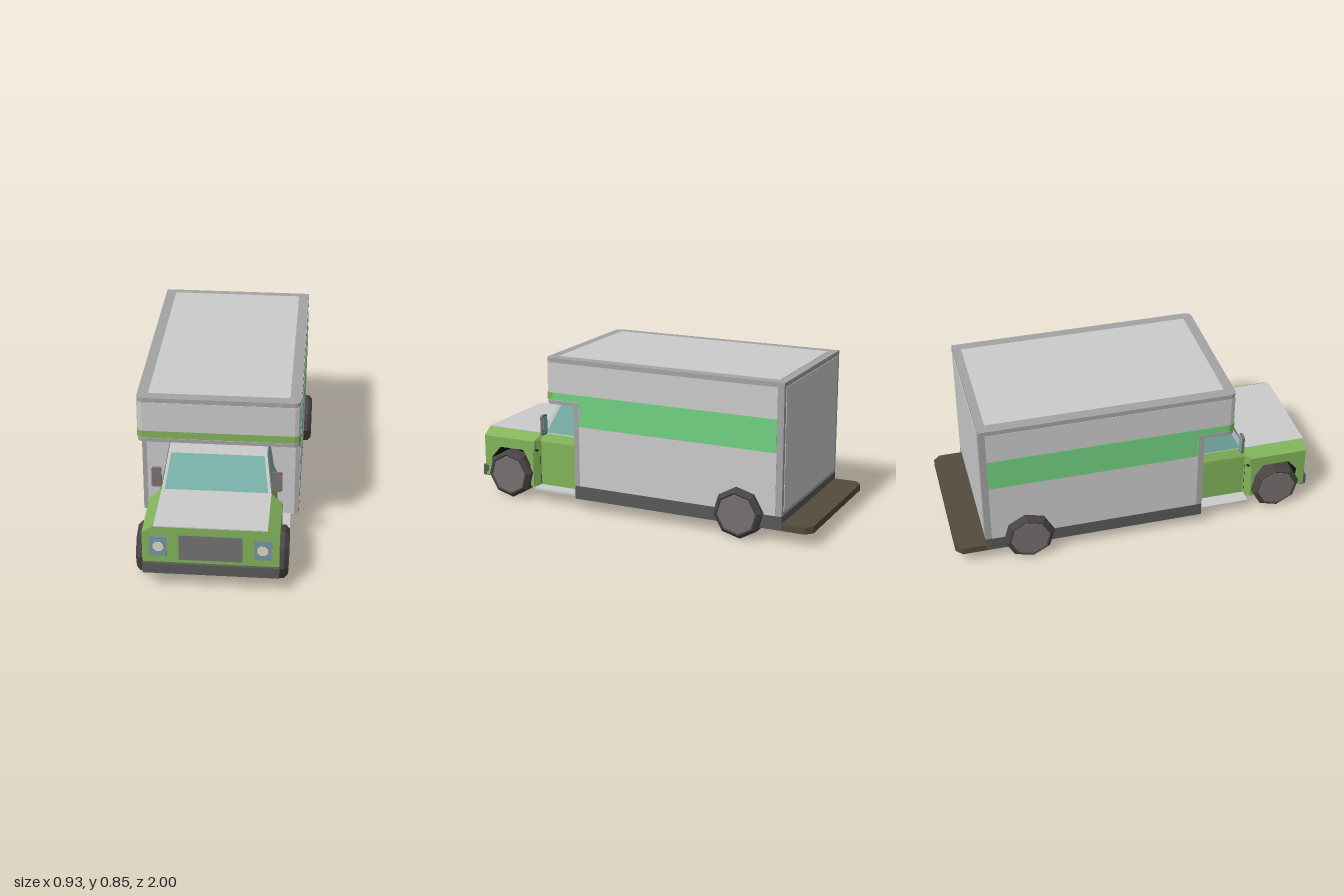
import * as THREE from 'three';
import { ConvexGeometry } from 'three/addons/geometries/ConvexGeometry.js';

const mat = (color) => new THREE.MeshStandardMaterial({ color, flatShading: true, side: THREE.DoubleSide });

export function createModel() {
  const truck = new THREE.Group();
  truck.name = 'boxTruck';
  const grey = mat(0xcccccc), trim = mat(0xa4a4a4), dark = mat(0x595959), black = mat(0x111111);
  const green = mat(0x82b45a), stripeGreen = mat(0x72d282), glass = mat(0x7bb4ac);
  const wood = mat(0x544d3b), tyreMat = mat(0x4a4545), hubMat = mat(0x757070);
  const lampPlate = mat(0x7894a5), lampMat = mat(0xe0d8c4), grilleMat = mat(0x727272), mirrorMat = mat(0x7a7270);

  const add = (name, geo, material, parent = truck) => {
    const mesh = new THREE.Mesh(geo, material);
    mesh.name = name;
    parent.add(mesh);
    return mesh;
  };
  // Box given by its limits
  const box = (name, x0, x1, y0, y1, z0, z1, m) =>
    add(name, new THREE.BoxGeometry(x1 - x0, y1 - y0, z1 - z0)
      .translate((x0 + x1) / 2, (y0 + y1) / 2, (z0 + z1) / 2), m);
  const extrude = (pts, depth) => new THREE.ExtrudeGeometry(
    new THREE.Shape(pts.map(([a, b]) => new THREE.Vector2(a, b))), { depth, bevelEnabled: false });
  // Outline in (z, y), given thickness, outer face at x = +-x
  const sidePair = (name, pts, x, t, m) => {
    for (const s of [1, -1])
      add(name, extrude(pts, t).rotateY(-Math.PI / 2).translate(s > 0 ? x : t - x, 0, 0), m);
  };
  // Outline in (x, y), extruded from z0 to z1
  const frontal = (name, pts, z0, z1, m) => add(name, extrude(pts, z1 - z0).translate(0, 0, z0), m);
  // Outline in (x, z), extruded from y0 to y1
  const plan = (name, pts, y0, y1, m) =>
    add(name, extrude(pts, y1 - y0).rotateX(Math.PI / 2).translate(0, y1, 0), m);
  const mirrorX = (half) => [...half, ...half.map(([x, y]) => [-x, y]).reverse()];
  const quad = (name, corners, m) => {
    const g = new THREE.BufferGeometry();
    g.setAttribute('position', new THREE.Float32BufferAttribute(corners.flat(), 3));
    g.setIndex([0, 1, 2, 0, 2, 3]);
    g.computeVertexNormals();
    return add(name, g, m);
  };

  // Cargo box with overhang and softened front corners
  const nose = (w, z0, z1) => mirrorX([[w, z0], [w, z1 - 0.03], [w - 0.009, z1 - 0.009], [w - 0.03, z1]]);
  plan('cargoUpper', nose(0.422, -0.84, 0.53), 0.59, 0.845, trim);
  box('cargoLower', -0.422, 0.422, 0.145, 0.6, -0.84, 0.36, trim);
  box('cargoSkirt', -0.422, 0.422, 0.07, 0.145, -0.84, 0.36, dark);
  box('cargoFrontFrame', -0.422, 0.422, 0.07, 0.6, 0.359, 0.362, trim);
  box('cargoFrontPanel', -0.397, 0.397, 0.075, 0.575, 0.361, 0.364, grey);
  box('roofPanel', -0.365, 0.365, 0.844, 0.847, -0.795, 0.475, grey);
  box('rearDoor', -0.395, 0.395, 0.165, 0.82, -0.843, -0.839, grey);
  sidePair('sidePanel', [[-0.805, 0.145], [0.33, 0.145], [0.33, 0.612], [0.5, 0.612], [0.5, 0.82], [-0.805, 0.82]],
    0.4235, 0.003, grey);
  sidePair('sideStripe', [[-0.805, 0.48], [0.328, 0.48], [0.328, 0.615], [0.49, 0.615], [0.49, 0.655], [-0.805, 0.655]],
    0.425, 0.003, stripeGreen);
  plan('overhangPanel', nose(0.4235, 0.48, 0.532), 0.612, 0.82, grey);
  plan('overhangStripe', nose(0.425, 0.49, 0.534), 0.615, 0.655, green);

  // Rear step board with cut corners
  plan('rearBoard', mirrorX([[0.422, -0.84], [0.422, -0.965], [0.385, -1]]), 0.07, 0.107, wood);

  // Bonnet and wings around open wheel arches
  const hoodSection = (y0) => mirrorX([[0.345, y0], [0.345, 0.335], [0.285, 0.373]]);
  frontal('bonnet', hoodSection(0.285), 0.66, 0.985, green);
  frontal('frontPanel', hoodSection(0.105), 0.96, 0.985, green);
  box('bonnetLining', -0.335, 0.335, 0.278, 0.286, 0.65, 0.962, black);
  box('frontLining', -0.335, 0.335, 0.106, 0.28, 0.955, 0.962, black);
  box('bonnetTop', -0.285, 0.285, 0.37, 0.376, 0.645, 0.987, grey);
  sidePair('wing', [[0.985, 0.105], [0.985, 0.3], [0.67, 0.3], [0.67, 0.075], [0.69, 0.075], [0.69, 0.2],
    [0.735, 0.278], [0.885, 0.278], [0.945, 0.21], [0.935, 0.105]], 0.345, 0.015, green);
  for (const s of [1, -1]) {
    quad('wingReturn', [[s * 0.345, 0.075, 0.67], [s * 0.305, 0.075, 0.64],
      [s * 0.305, 0.335, 0.64], [s * 0.345, 0.335, 0.67]], green);
    quad('wingReturnTop', [[s * 0.345, 0.335, 0.67], [s * 0.305, 0.335, 0.64],
      [s * 0.285, 0.373, 0.64], [s * 0.285, 0.373, 0.67]], green);
  }

  // Cab body, firewall, floor and side steps
  frontal('cabBody', mirrorX([[0.305, 0.075], [0.305, 0.33], [0.285, 0.373]]), 0.36, 0.645, green);
  box('firewall', -0.31, 0.31, 0.072, 0.3, 0.643, 0.655, black);
  box('cabFloor', -0.3, 0.3, 0.07, 0.078, 0.36, 0.65, black);
  for (const s of [1, -1])
    box('sideStep', s > 0 ? 0.3 : -0.38, s > 0 ? 0.38 : -0.3, 0.068, 0.08, 0.36, 0.645, grey);

  // Greenhouse with sloped windscreen and tapered sides
  const corners = [];
  for (const s of [1, -1])
    for (const [x, y, z] of [[0.285, 0.37, 0.65], [0.285, 0.37, 0.36], [0.255, 0.555, 0.545], [0.255, 0.555, 0.36]])
      corners.push(new THREE.Vector3(s * x, y, z));
  add('cabTop', new ConvexGeometry(corners), grey);
  const screenZ = (y) => 0.653 - (y - 0.37) * 0.5676;
  const sideX = (y) => 0.288 - (y - 0.37) * 0.162;
  quad('windscreen', [[-0.268, 0.38, screenZ(0.38)], [0.268, 0.38, screenZ(0.38)],
    [0.242, 0.545, screenZ(0.545)], [-0.242, 0.545, screenZ(0.545)]], glass);
  for (const s of [1, -1])
    quad('sideWindow', [[0.615, 0.38], [0.385, 0.38], [0.385, 0.545], [0.53, 0.545]]
      .map(([z, y]) => [s * sideX(y), y, z]), glass);

  // Grille, bumper and headlamps
  box('grille', -0.16, 0.16, 0.18, 0.325, 0.984, 0.989, grilleMat);
  box('bumper', -0.345, 0.345, 0.1, 0.16, 0.965, 1, dark);
  for (const s of [1, -1]) {
    box('lampPlate', s * 0.264 - 0.044, s * 0.264 + 0.044, 0.2, 0.315, 0.984, 0.99, lampPlate);
    const disc = (r, d) => new THREE.CylinderGeometry(r, r, d, 8).rotateX(Math.PI / 2)
      .rotateZ(Math.PI / 8).translate(s * 0.262, 0.26, 0.984 + d / 2);
    add('lampRim', disc(0.034, 0.012), lampPlate);
    add('lamp', disc(0.029, 0.015), lampMat);
  }

  // Door mirrors
  for (const s of [1, -1]) {
    const c = s * 0.313, w = 0.026, b = 0.008;
    const pts = [[-w, 0.375 + b], [-w + b, 0.375], [w - b, 0.375], [w, 0.375 + b],
      [w, 0.488 - b], [w - b, 0.488], [-w + b, 0.488], [-w, 0.488 - b]].map(([x, y]) => [x + c, y]);
    frontal('mirror', pts, 0.608, 0.622, mirrorMat);
    box('mirrorGlass', c - 0.02, c + 0.02, 0.385, 0.478, 0.606, 0.609, glass);
    box('mirrorArm', s * 0.285 - 0.015, s * 0.285 + 0.015, 0.39, 0.4, 0.61, 0.62, mirrorMat);
  }

  // Eight-sided wheels
  const wheel = (name, s, z, width) => {
    const group = new THREE.Group();
    group.name = name;
    const profile = [[0, 0], [0.137, 0], [0.137, width - 0.02], [0.115, width], [0.105, width - 0.006], [0, width - 0.006]];
    const turn = (g) => g.rotateY(0.12).rotateZ(-s * Math.PI / 2);
    add('tyre', turn(new THREE.LatheGeometry(profile.map(([r, y]) => new THREE.Vector2(r, y)), 8)), tyreMat, group);
    add('hub', turn(new THREE.CylinderGeometry(0.106, 0.106, 0.004, 8).translate(0, width - 0.004, 0)), hubMat, group);
    group.position.set(s * 0.31, 0.137, z);
    truck.add(group);
  };
  for (const s of [1, -1]) {
    wheel('frontWheel', s, 0.81, 0.077);
    wheel('rearWheel', s, -0.605, 0.154);
  }
  return truck;
}
